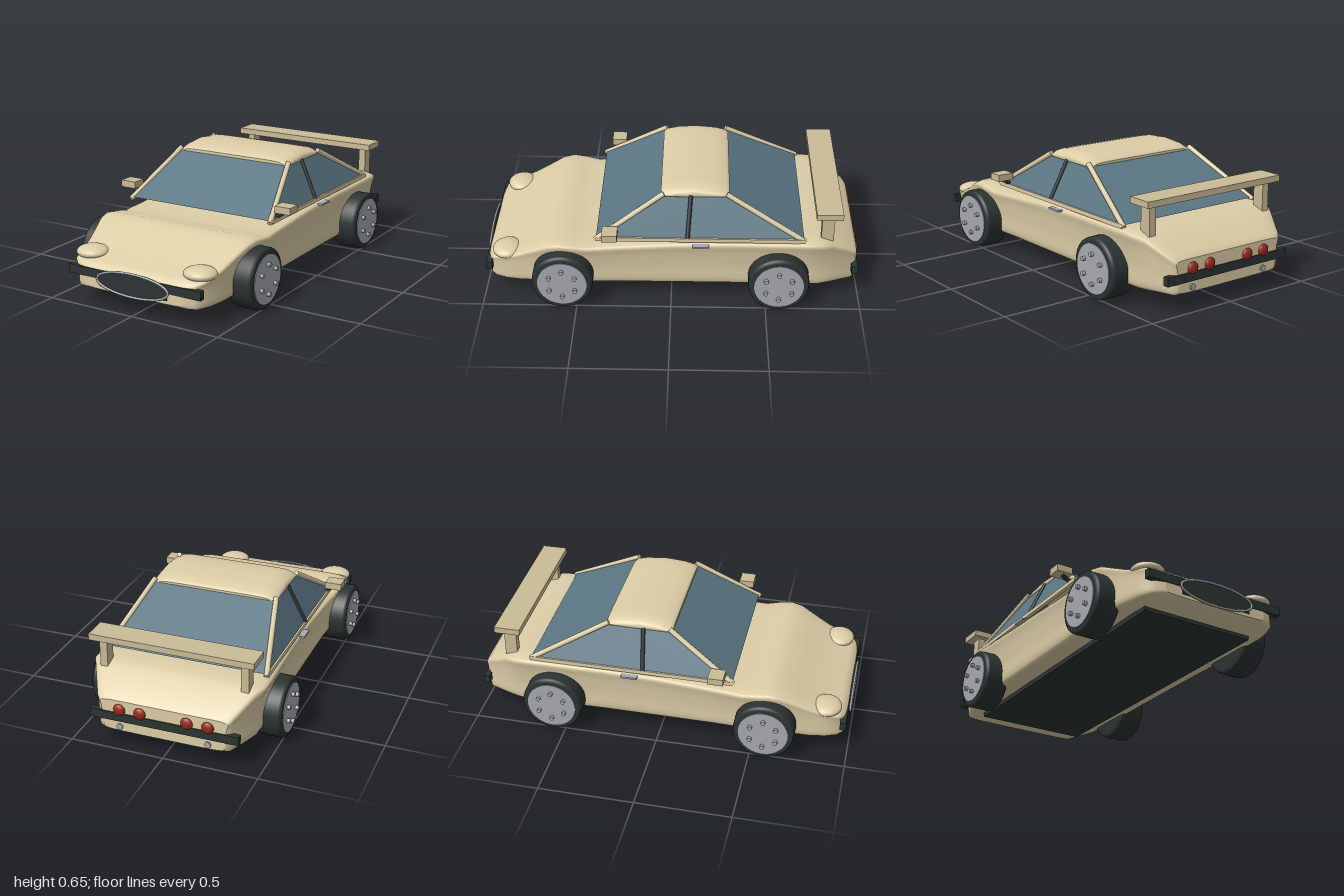
import * as THREE from 'three';

const mat = (name, color, side = THREE.FrontSide) => {
  const m = new THREE.MeshStandardMaterial({ color, side });
  m.name = name;
  return m;
};

export function createModel() {
  const car = new THREE.Group();
  car.name = 'car';
  const paint = mat('cream paint', 0xdccda6);
  const trim = mat('tan trim', 0xcabc96);
  const black = mat('black rubber', 0x2b3432);
  const glass = mat('blue glass', 0x5a7683, THREE.DoubleSide);
  const silver = mat('silver', 0xa6a9b0);
  const red = mat('red lamp', 0x98291f);

  const add = (name, geo, material, x = 0, y = 0, z = 0, parent = car) => {
    const m = new THREE.Mesh(geo, material);
    m.name = name;
    m.position.set(x, y, z);
    parent.add(m);
    return m;
  };
  const box = (name, material, w, h, d, x, y, z) => add(name, new THREE.BoxGeometry(w, h, d), material, x, y, z);
  const V = (x, y, z) => new THREE.Vector3(x, y, z);

  // straight bar between two points
  const bar = (name, material, a, b, r) => {
    const m = add(name, new THREE.CylinderGeometry(r, r, a.distanceTo(b), 10), material);
    m.position.copy(a).add(b).multiplyScalar(0.5);
    m.quaternion.setFromUnitVectors(V(0, 1, 0), b.clone().sub(a).normalize());
    return m;
  };

  // skin through mirrored half sections ordered back to front, with flat end caps
  const loft = (name, sections, material) => {
    const rings = sections.map(({ z, half }) => {
      const right = new THREE.SplineCurve(half.map(([x, y]) => new THREE.Vector2(x, y))).getPoints(30);
      const left = right.slice(1, -1).reverse().map((p) => new THREE.Vector2(-p.x, p.y));
      return right.concat(left).map((p) => V(p.x, p.y, z));
    });
    const n = rings[0].length;
    const pos = rings.flat().flatMap((p) => p.toArray());
    const index = [];
    for (let i = 0; i < rings.length - 1; i++) {
      for (let j = 0; j < n; j++) {
        const a = i * n + j, b = i * n + (j + 1) % n;
        index.push(a, b, b + n, a, b + n, a + n);
      }
    }
    [rings[0], rings[rings.length - 1]].forEach((ring, end) => {
      const base = pos.length / 3;
      const mid = (ring[0].y + ring[30].y) / 2;
      ring.forEach((p) => pos.push(p.x, p.y, p.z));
      pos.push(0, mid, ring[0].z);
      for (let j = 0; j < n; j++) {
        const a = base + j, b = base + (j + 1) % n;
        if (end) index.push(base + n, a, b);
        else index.push(base + n, b, a);
      }
    });
    const g = new THREE.BufferGeometry();
    g.setAttribute('position', new THREE.Float32BufferAttribute(pos, 3));
    g.setIndex(index);
    g.computeVertexNormals();
    return add(name, g, material);
  };

  // body shell: z, shoulder half width, sill half width, top, bottom
  const stations = [
    [-0.98, 0.34, 0.32, 0.27, 0.10], [-0.96, 0.36, 0.35, 0.295, 0.09], [-0.84, 0.425, 0.40, 0.375, 0.09],
    [-0.78, 0.457, 0.42, 0.392, 0.09], [-0.70, 0.46, 0.425, 0.395, 0.09], [-0.56, 0.455, 0.425, 0.392, 0.09],
    [-0.3, 0.445, 0.42, 0.386, 0.09], [0, 0.442, 0.42, 0.375, 0.09], [0.3, 0.445, 0.42, 0.355, 0.09],
    [0.44, 0.452, 0.425, 0.347, 0.09], [0.51, 0.461, 0.425, 0.36, 0.09], [0.58, 0.462, 0.425, 0.37, 0.09],
    [0.64, 0.452, 0.425, 0.36, 0.09], [0.72, 0.43, 0.415, 0.32, 0.09], [0.8, 0.412, 0.405, 0.28, 0.085],
    [0.88, 0.40, 0.39, 0.25, 0.085], [0.94, 0.38, 0.365, 0.235, 0.085], [0.965, 0.35, 0.34, 0.22, 0.09],
    [0.98, 0.29, 0.29, 0.20, 0.10],
  ];
  loft('body', stations.map(([z, w, s, t, b]) => {
    const h = t - b;
    return { z, half: [[0, b], [s * 0.5, b], [s * 0.9, b + 0.003], [s, b + h * 0.1], [s + 0.004, b + h * 0.4],
      [s * 0.4 + w * 0.6, b + h * 0.75], [w, t - h * 0.08], [w * 0.94, t - h * 0.025], [w * 0.8, t], [w * 0.4, t], [0, t]] };
  }), paint);

  // roof
  const roofLine = [[-0.3, 0.615], [-0.285, 0.63], [-0.23, 0.643], [-0.12, 0.652], [-0.02, 0.645], [0.04, 0.632], [0.055, 0.618]];
  loft('roof', roofLine.map(([z, t]) => ({
    z, half: [[0, 0.595], [0.2, 0.595], [0.32, 0.595], [0.342, 0.602], [0.335, t - 0.022], [0.29, t - 0.004], [0.2, t], [0, t]],
  })), paint);

  // underbody
  box('underbody', black, 0.63, 0.03, 1.66, 0, 0.08, 0);

  // windows
  const pane = (name, a, b, c, d) => {
    const g = new THREE.BufferGeometry().setFromPoints([a, b, c, d]);
    g.setIndex([0, 1, 2, 0, 2, 3]);
    g.computeVertexNormals();
    add(name, g, glass);
  };
  const base = (s, front) => V(s * 0.435, 0.4, front ? 0.39 : -0.69);
  const top = (s, front) => V(s * 0.335, 0.605, front ? 0.05 : -0.295);
  pane('windshield', base(-1, true), base(1, true), top(1, true), top(-1, true));
  pane('rearWindow', base(1, false), base(-1, false), top(-1, false), top(1, false));

  // one wheel: tire, hub and six studs facing outward
  const tireProfile = [[0.05, -0.07], [0.145, -0.07], [0.157, -0.062], [0.16, -0.05], [0.16, 0.05],
    [0.157, 0.062], [0.145, 0.07], [0.05, 0.07]].map(([r, y]) => new THREE.Vector2(r, y));
  const tireGeo = new THREE.LatheGeometry(tireProfile, 40);
  const hubGeo = new THREE.CylinderGeometry(0.13, 0.13, 0.142, 40);
  const studGeo = new THREE.CylinderGeometry(0.012, 0.012, 0.022, 8);
  const wheel = (s, z) => {
    const g = new THREE.Group();
    g.name = 'wheel';
    g.position.set(s * 0.45, 0.163, z);
    g.rotation.z = -s * Math.PI / 2;
    car.add(g);
    add('tire', tireGeo, black, 0, 0, 0, g);
    add('hub', hubGeo, silver, 0, 0.003, 0, g);
    for (let i = 0; i < 6; i++) {
      const a = i * Math.PI / 3 + Math.PI / 2;
      add('stud', studGeo, silver, Math.sin(a) * 0.078, 0.08, Math.cos(a) * 0.078, g);
    }
  };

  for (const s of [-1, 1]) {
    // side glass, pillars and belt rail
    pane('sideWindow', base(s, true), base(s, false), top(s, false), top(s, true));
    bar('frontPillar', paint, V(s * 0.432, 0.39, 0.395), V(s * 0.338, 0.615, 0.04), 0.014);
    bar('rearPillar', paint, V(s * 0.432, 0.39, -0.695), V(s * 0.338, 0.615, -0.285), 0.014);
    bar('doorPillar', black, V(s * 0.436, 0.402, -0.085), V(s * 0.338, 0.605, -0.1), 0.011);
    box('beltRail', paint, 0.02, 0.022, 1.08, s * 0.432, 0.394, -0.15);

    wheel(s, 0.57);
    wheel(s, -0.565);

    // mirror on a short stalk
    box('mirror', trim, 0.09, 0.037, 0.08, s * 0.479, 0.454, 0.315);
    bar('mirrorStalk', black, V(s * 0.425, 0.405, 0.32), V(s * 0.475, 0.437, 0.32), 0.012);

    box('doorHandle', silver, 0.03, 0.01, 0.085, s * 0.452, 0.365, -0.153);
    box('wingPost', trim, 0.04, 0.16, 0.065, s * 0.375, 0.45, -0.812);

    // bulging headlight
    const lamp = add('headlight', new THREE.SphereGeometry(1, 28, 18), paint, s * 0.324, 0.25, 0.872);
    lamp.scale.set(0.087, 0.035, 0.08);

    // tail lamps and exhaust
    for (const x of [0.125, 0.235]) {
      const tail = add('tailLamp', new THREE.SphereGeometry(1, 18, 12), red, s * x, 0.22, -0.98);
      tail.scale.set(0.032, 0.032, 0.018);
    }
    const pipe = add('exhaust', new THREE.CylinderGeometry(0.017, 0.017, 0.04, 14), silver, s * 0.235, 0.125, -0.967);
    pipe.rotation.x = Math.PI / 2;
  }

  // rear wing
  box('wing', trim, 0.87, 0.033, 0.137, 0, 0.542, -0.814);

  // bumpers
  box('frontBumper', black, 0.79, 0.046, 0.032, 0, 0.179, 0.968);
  box('lowerIntake', black, 0.4, 0.04, 0.015, 0, 0.138, 0.977);
  box('rearBumper', black, 0.79, 0.046, 0.032, 0, 0.179, -0.97);

  // oval grille with a silver surround
  const grille = add('grille', new THREE.CylinderGeometry(1, 1, 0.012, 48), black, 0, 0.16, 0.984);
  grille.rotation.x = Math.PI / 2;
  grille.scale.set(0.212, 1, 0.06);
  const oval = [];
  for (let i = 0; i < 32; i++) {
    const a = i * Math.PI / 16;
    oval.push(V(Math.cos(a) * 0.213, Math.sin(a) * 0.06, 0));
  }
  const ovalCurve = new THREE.CatmullRomCurve3(oval, true);
  add('grilleSurround', new THREE.TubeGeometry(ovalCurve, 72, 0.006, 8, true), silver, 0, 0.16, 0.991);

  return car;
}
